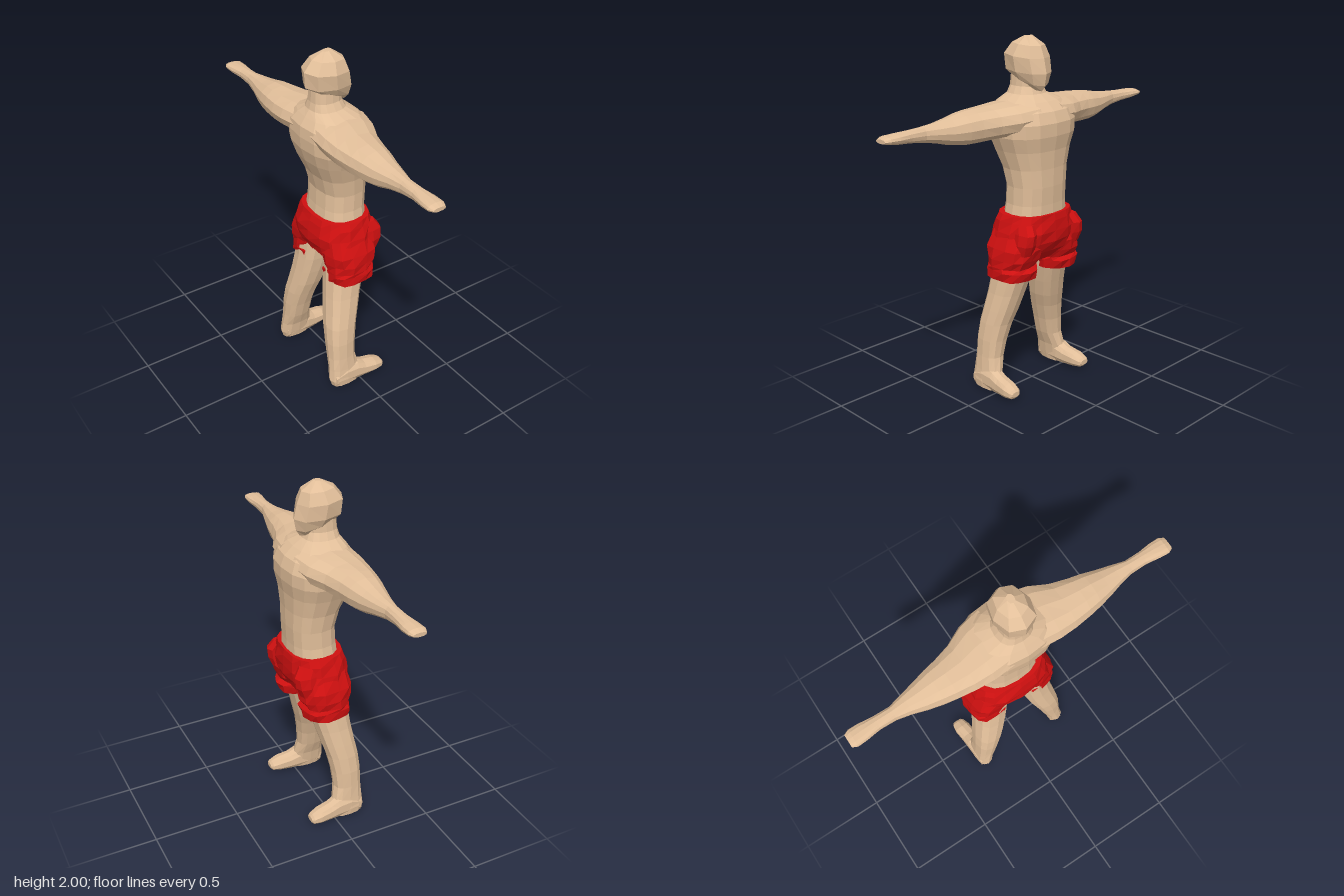
import * as THREE from 'three';

const skin = new THREE.MeshStandardMaterial({ color: 0xe2bf9a, flatShading: true, side: THREE.DoubleSide });
const cloth = new THREE.MeshStandardMaterial({ color: 0xd01010, flatShading: true, side: THREE.DoubleSide });
const V = (x, y, z) => new THREE.Vector3(x, y, z);

// Ring kinds: each gives a centre and two half axes.
// level: from a back point (xb, yb) to a front point (xf, yf), at side offset z with half width w
const level = ([xb, yb, xf, yf, z, w]) => ({
  c: V((xb + xf) / 2, (yb + yf) / 2, z), u: V((xf - xb) / 2, (yf - yb) / 2, 0), v: V(0, 0, w),
});
// flat: horizontal ring at height y
const flat = ([y, xb, xf, z, w]) => level([xb, y, xf, y, z, w]);
// alongZ: upright ring across the arm
const alongZ = ([z, x0, x1, y0, y1]) => ({
  c: V((x0 + x1) / 2, (y0 + y1) / 2, z), u: V((x1 - x0) / 2, 0, 0), v: V(0, (y1 - y0) / 2, 0),
});
// alongX: upright ring across the foot
const alongX = ([x, y0, y1, z, w]) => ({
  c: V(x, (y0 + y1) / 2, z), u: V(0, (y1 - y0) / 2, 0), v: V(0, 0, w),
});

// Skins a row of rings; power below 1 squares the section, wrinkle scales points
function loft(name, rings, n, material, { power = 0.8, caps = [true, true], wrinkle = () => 1 } = {}) {
  const pos = [], idx = [];
  const soft = (t) => Math.sign(t) * Math.abs(t) ** power;
  rings.forEach(({ c, u, v }, i) => {
    for (let j = 0; j < n; j++) {
      const a = (j / n) * Math.PI * 2, k = wrinkle(i, j);
      const p = c.clone().addScaledVector(u, k * soft(Math.cos(a))).addScaledVector(v, k * soft(Math.sin(a)));
      pos.push(p.x, p.y, p.z);
    }
  });
  const last = rings.length - 1;
  const run = rings[last].c.clone().sub(rings[0].c);
  const flip = rings[0].u.clone().cross(rings[0].v).dot(run) < 0;
  const tri = (a, b, c) => (flip ? idx.push(a, c, b) : idx.push(a, b, c));
  for (let i = 0; i < last; i++) {
    for (let j = 0; j < n; j++) {
      const a = i * n + j, b = i * n + (j + 1) % n;
      tri(a, b, b + n);
      tri(a, b + n, a + n);
    }
  }
  [0, last].forEach((r, e) => {
    if (!caps[e]) return;
    const m = pos.length / 3;
    pos.push(...rings[r].c.toArray());
    for (let j = 0; j < n; j++) {
      const a = r * n + j, b = r * n + (j + 1) % n;
      e ? tri(m, a, b) : tri(m, b, a);
    }
  });
  const g = new THREE.BufferGeometry();
  g.setAttribute('position', new THREE.Float32BufferAttribute(pos, 3));
  g.setIndex(idx);
  g.computeVertexNormals();
  const mesh = new THREE.Mesh(g, material);
  mesh.name = name;
  return mesh;
}

export function createModel() {
  const model = new THREE.Group();
  model.name = 'standingMan';

  // Torso running up into the neck
  model.add(loft('torso', [
    [0.98, -0.12, 0.16, 0, 0.19], [1.1, -0.105, 0.16, 0, 0.172], [1.2, -0.1, 0.165, 0, 0.172],
    [1.3, -0.125, 0.165, 0, 0.185], [1.4, -0.17, 0.172, 0, 0.215], [1.48, -0.195, 0.187, 0, 0.245],
    [1.55, -0.2, 0.188, 0, 0.25], [1.61, -0.195, 0.165, 0, 0.23], [1.655, -0.165, 0.115, 0, 0.18],
    [1.69, -0.14, 0.06, 0, 0.1], [1.73, -0.13, 0.042, 0, 0.078], [1.82, -0.125, 0.045, 0, 0.07],
  ].map(flat), 16, skin));

  // Faceted head, jaw sloping down to the chin
  model.add(loft('head', [
    [-0.06, 1.765, 0.075, 1.705, 0, 0.04], [-0.125, 1.79, 0.095, 1.735, 0, 0.075],
    [-0.162, 1.815, 0.108, 1.8, 0, 0.098], [-0.167, 1.9, 0.09, 1.88, 0, 0.105],
    [-0.12, 1.958, 0.065, 1.945, 0, 0.075], [-0.055, 1.99, -0.005, 1.995, 0, 0.02],
  ].map(level), 8, skin, { power: 0.85 }));

  for (const s of [1, -1]) {
    const side = s > 0 ? 'left' : 'right';

    // Arm held straight out, ending in a flat hand
    model.add(loft(side + 'Arm', [
      [0.08, -0.19, 0.165, 1.5, 1.67], [0.2, -0.195, 0.14, 1.485, 1.66], [0.3, -0.187, 0.09, 1.476, 1.65],
      [0.4, -0.172, 0.06, 1.47, 1.645], [0.47, -0.158, 0.045, 1.47, 1.638], [0.55, -0.138, 0.022, 1.482, 1.622],
      [0.63, -0.115, 0, 1.505, 1.61], [0.71, -0.098, -0.024, 1.52, 1.603], [0.8, -0.098, -0.022, 1.533, 1.598],
      [0.88, -0.11, -0.012, 1.54, 1.594], [0.935, -0.114, -0.012, 1.548, 1.59], [0.963, -0.1, -0.025, 1.556, 1.578],
    ].map(([z, ...r]) => alongZ([z * s, ...r])), 12, skin, { power: 0.9 }));

    // Leg leaning outwards from the hip to the heel
    model.add(loft(side + 'Leg', [
      [0.82, -0.125, 0.12, 0.13, 0.1], [0.68, -0.135, 0.09, 0.143, 0.097], [0.58, -0.147, 0.06, 0.16, 0.093],
      [0.48, -0.162, 0.032, 0.182, 0.09], [0.4, -0.175, 0.008, 0.203, 0.083], [0.3, -0.182, -0.01, 0.225, 0.073],
      [0.2, -0.182, -0.018, 0.24, 0.063], [0.12, -0.187, 0, 0.258, 0.052], [0.05, -0.193, 0, 0.268, 0.05],
      [0.01, -0.18, 0, 0.27, 0.044],
    ].map(([y, b, f, z, w]) => flat([y, b, f, z * s, w])), 12, skin));

    // Foot pointing forwards, toes slightly outwards
    model.add(loft(side + 'Foot', [
      [-0.17, 0.004, 0.1, 0.268, 0.042], [-0.1, 0, 0.14, 0.268, 0.05], [-0.02, 0.002, 0.135, 0.27, 0.052],
      [0.03, 0.005, 0.11, 0.274, 0.05], [0.1, 0.01, 0.095, 0.281, 0.05], [0.145, 0.018, 0.075, 0.284, 0.04],
      [0.158, 0.032, 0.062, 0.285, 0.028],
    ].map(([x, a, b, z, w]) => alongX([x, a, b, z * s, w])), 10, skin));

    // Creased trouser leg, open at the hem
    model.add(loft(side + 'ShortsLeg', [
      [0.95, -0.13, 0.15, 0.125, 0.105], [0.86, -0.145, 0.165, 0.145, 0.125], [0.8, -0.135, 0.155, 0.152, 0.125],
      [0.755, -0.13, 0.13, 0.158, 0.118], [0.735, -0.135, 0.15, 0.16, 0.12], [0.685, -0.128, 0.135, 0.163, 0.115],
    ].map(([y, b, f, z, w]) => flat([y, b, f, z * s, w])), 14, cloth, {
      caps: [true, false], wrinkle: (i, j) => 1 + 0.05 * Math.sin(j * 2.3 + i * 1.7 + s),
    }));

    // Hip pocket flap
    model.add(loft(side + 'Pocket', [
      [1.01, 0.03, 0.165, 0.165, 0.04], [0.96, 0.05, 0.198, 0.18, 0.045],
      [0.9, 0.06, 0.19, 0.185, 0.05], [0.84, 0.06, 0.165, 0.18, 0.045],
    ].map(([y, b, f, z, w]) => flat([y, b, f, z * s, w])), 8, cloth, { power: 0.7 }));
  }

  // Seat and waistband of the shorts
  model.add(loft('shortsSeat', [
    [1.047, -0.132, 0.175, 0, 0.208], [1.01, -0.145, 0.18, 0, 0.222], [0.95, -0.163, 0.188, 0, 0.235],
    [0.89, -0.16, 0.18, 0, 0.25], [0.83, -0.14, 0.155, 0, 0.245], [0.77, -0.09, 0.1, 0, 0.17],
  ].map(flat), 18, cloth, {
    power: 0.75, wrinkle: (i, j) => 1 + (i ? 0.025 : 0) * Math.sin(j * 2.1 + i * 2.6),
  }));

  return model;
}
